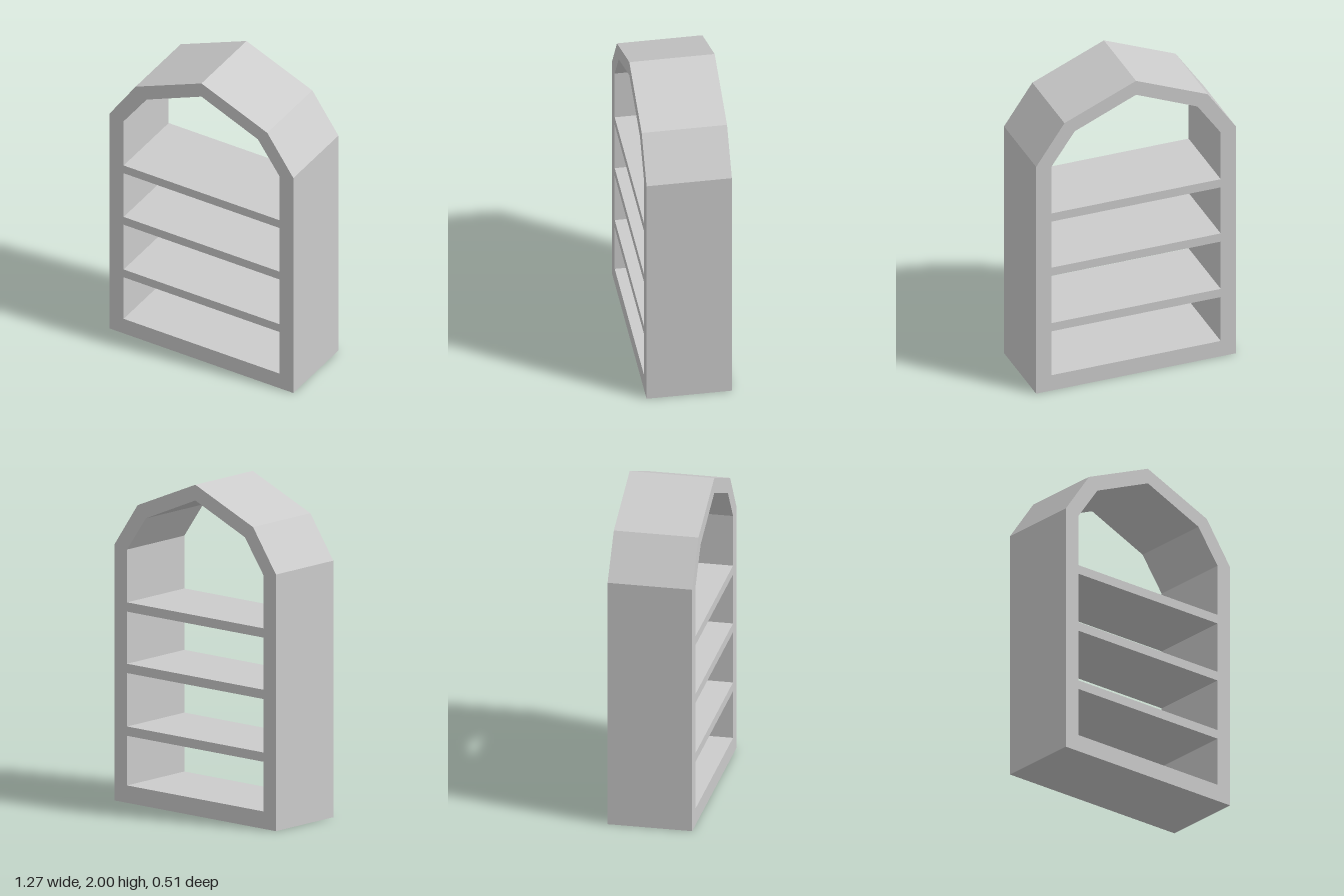
import * as THREE from 'three';

const DEPTH = 0.51;
const INNER_HALF_WIDTH = 0.538;

// Closed outline mirrored about x = 0: right half from bottom to just below the peak
function archPoints(half, peakY) {
  const pts = half.map(([x, y]) => new THREE.Vector2(x, y));
  const mirrored = half.map(([x, y]) => new THREE.Vector2(-x, y)).reverse();
  return [...pts, new THREE.Vector2(0, peakY), ...mirrored];
}

export function createModel() {
  const group = new THREE.Group();
  group.name = 'archedBookcase';
  const material = new THREE.MeshStandardMaterial({ color: 0xcccccc, flatShading: true });

  // Arched frame with one large opening
  const outline = new THREE.Shape(archPoints([[0.635, 0], [0.635, 1.55], [0.455, 1.81]], 2));
  outline.holes.push(new THREE.Path(
    archPoints([[INNER_HALF_WIDTH, 0.105], [INNER_HALF_WIDTH, 1.53], [0.39, 1.74]], 1.905)));
  const frameGeometry = new THREE.ExtrudeGeometry(outline, { depth: DEPTH, bevelEnabled: false });
  frameGeometry.translate(0, 0, -DEPTH / 2);
  const frame = new THREE.Mesh(frameGeometry, material);
  frame.name = 'frame';
  group.add(frame);

  // Shelves, flush with the front and back of the frame
  const shelfGeometry = new THREE.BoxGeometry(2 * INNER_HALF_WIDTH, 0.056, DEPTH);
  [0.433, 0.812, 1.183].forEach((y, i) => {
    const shelf = new THREE.Mesh(shelfGeometry, material);
    shelf.name = `shelf${i + 1}`;
    shelf.position.y = y;
    group.add(shelf);
  });

  return group;
}
